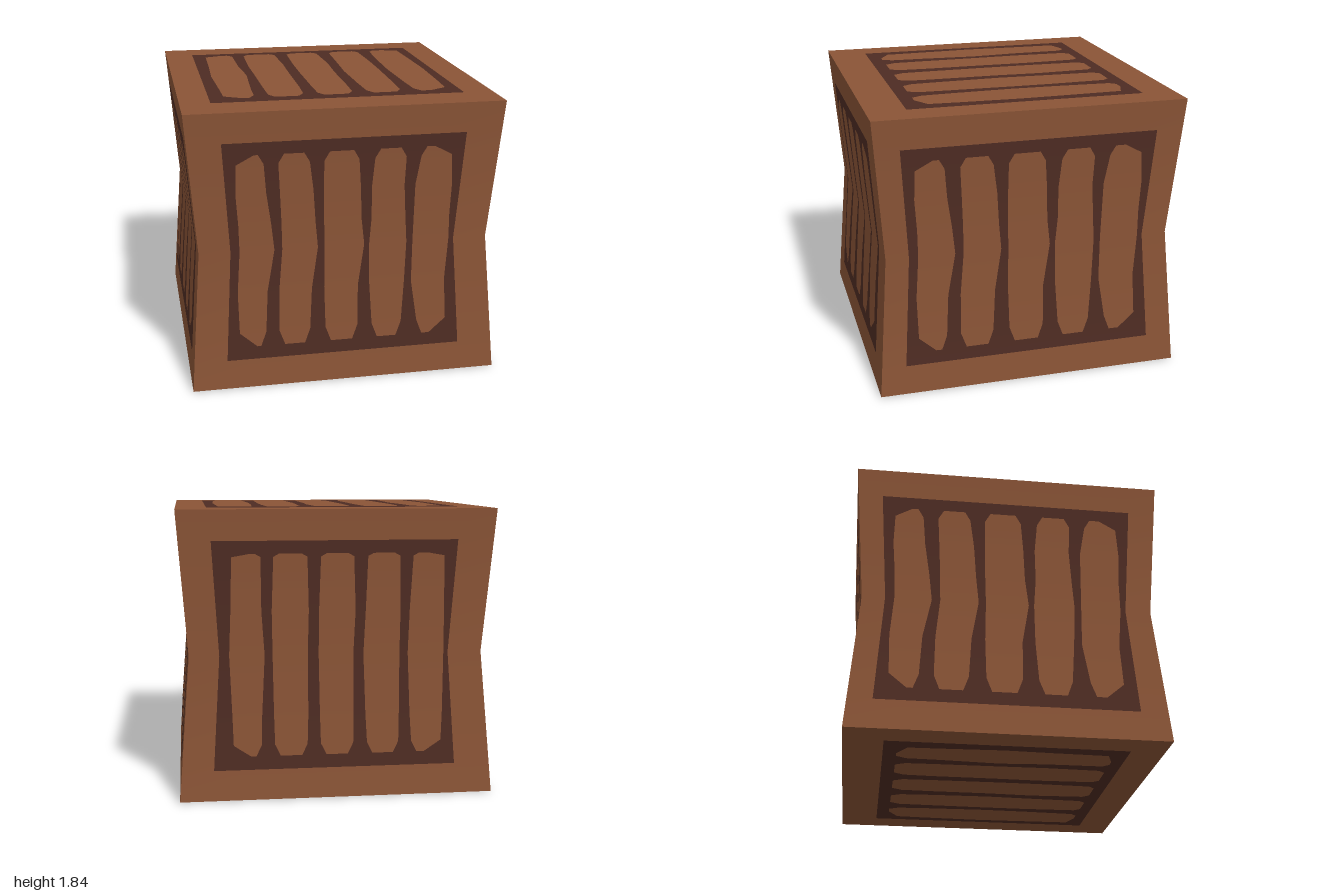
import * as THREE from 'three';

const H = 1.825, MID = H / 2, WAIST = 0.93;
const wood = new THREE.MeshStandardMaterial({ color: 0x8a5436 });
wood.name = 'wood brown';
const dark = new THREE.MeshStandardMaterial({ color: 0x4e2c23 });
dark.name = 'dark brown';

// Each row: height from the middle, then left and right edge of the five slats
const SIDE_ROWS = [
  [0.58, -0.69, -0.52, -0.43, -0.235, -0.145, 0.075, 0.175, 0.375, 0.47, 0.665],
  [0.39, -0.695, -0.505, -0.42, -0.21, -0.145, 0.09, 0.16, 0.37, 0.44, 0.68],
  [0.18, -0.68, -0.475, -0.41, -0.195, -0.14, 0.10, 0.165, 0.385, 0.44, 0.675],
  [0, -0.675, -0.455, -0.405, -0.177, -0.134, 0.123, 0.155, 0.40, 0.44, 0.68],
  [-0.27, -0.695, -0.505, -0.43, -0.22, -0.14, 0.08, 0.155, 0.385, 0.432, 0.655],
  [-0.54, -0.69, -0.52, -0.435, -0.235, -0.135, 0.075, 0.17, 0.365, 0.47, 0.665],
];
const LID_ROWS = [
  [0.66, -0.72, -0.525, -0.44, -0.21, -0.118, 0.107, 0.203, 0.423, 0.514, 0.728],
  [0.30, -0.728, -0.52, -0.45, -0.198, -0.128, 0.123, 0.193, 0.434, 0.498, 0.738],
  [0, -0.739, -0.498, -0.444, -0.203, -0.128, 0.112, 0.182, 0.434, 0.492, 0.744],
  [-0.40, -0.723, -0.52, -0.439, -0.203, -0.123, 0.112, 0.193, 0.428, 0.503, 0.733],
  [-0.60, -0.717, -0.525, -0.434, -0.21, -0.118, 0.107, 0.203, 0.423, 0.514, 0.723],
];

const sideDepth = v => WAIST + (1 - WAIST) * Math.abs(v) / MID;
const lidDepth = () => MID;

// A strip facing +z from rows of [v, left, right], listed top to bottom
function strip(rows, depth, lift, bent) {
  const pos = [], nor = [], idx = [];
  rows.forEach(([v, a, b], i) => {
    const z = depth(v) + lift;
    pos.push(a, v, z, b, v, z);
    const n = new THREE.Vector3(0, bent ? -(1 - WAIST) / MID * v / MID : 0, 1).normalize();
    nor.push(n.x, n.y, n.z, n.x, n.y, n.z);
    if (i) {
      const k = 2 * i;
      idx.push(k - 2, k, k - 1, k - 1, k, k + 1);
    }
  });
  const g = new THREE.BufferGeometry();
  g.setAttribute('position', new THREE.Float32BufferAttribute(pos, 3));
  g.setAttribute('normal', new THREE.Float32BufferAttribute(nor, 3));
  g.setIndex(idx);
  return g;
}

// Dark recess with five worn slats on one face
function face(name, { rows, left, right, top, bottom, su = 1, sv = 1, bent = true }) {
  const group = new THREE.Group();
  group.name = name;
  const depth = bent ? sideDepth : lidDepth;
  const add = (part, geo, mat) => {
    const m = new THREE.Mesh(geo, mat);
    m.name = part;
    group.add(m);
  };
  const frame = [top, 0, bottom].map(v => {
    const s = bent ? sideDepth(v) / sideDepth(top) : 1;
    return [v, left * s, right * s];
  });
  add('darkRecess', strip(frame, depth, 0.003, bent), dark);
  for (let i = 0; i < 5; i++) {
    const r = rows.map(q => [q[0] * sv, q[1 + 2 * i] * su, q[2 + 2 * i] * su]);
    // Rounded ends, cut deeper at the outer corners of the outer slats
    const inA = i === 0 ? 0.11 : 0.035, inB = i === 4 ? 0.11 : 0.035;
    const f = r[0], l = r[r.length - 1];
    r.unshift([top - 0.08, f[1] + inA, f[2] - inB]);
    r.push([bottom + 0.085, l[1] + inA, l[2] - inB]);
    add('slat' + (i + 1), strip(r, depth, 0.006, bent), wood);
  }
  return group;
}

export function createModel() {
  const model = new THREE.Group();
  model.name = 'crate';
  const body = new THREE.Group();
  body.name = 'waistedCrate';
  body.position.y = MID;
  model.add(body);

  // Box pinched at half height
  const geo = new THREE.BoxGeometry(2, H, 2, 1, 2, 1);
  const p = geo.attributes.position;
  for (let i = 0; i < p.count; i++) {
    const s = sideDepth(p.getY(i));
    p.setX(i, p.getX(i) * s);
    p.setZ(i, p.getZ(i) * s);
  }
  geo.computeVertexNormals();
  const box = new THREE.Mesh(geo, wood);
  box.name = 'body';
  body.add(box);

  // Side faces
  const front = { rows: SIDE_ROWS, left: -0.775, right: 0.755, top: 0.72, bottom: -0.72 };
  const side = { ...front, left: -0.83, right: 0.81, su: 1.075 };
  const back = { ...front, rows: LID_ROWS, left: -0.785, su: 0.92, sv: 0.94 };
  [['frontFace', front], ['rightHandFace', side], ['backFace', back], ['leftHandFace', side]]
    .forEach(([name, opts], i) => {
      const f = face(name, opts);
      f.rotation.y = i * Math.PI / 2;
      body.add(f);
    });

  // Lid and underside
  const lid = { rows: LID_ROWS, left: -0.81, right: 0.805, top: 0.78, bottom: -0.75, bent: false };
  const topFace = face('topFace', lid);
  topFace.rotation.x = -Math.PI / 2;
  const underside = face('underside', lid);
  underside.rotation.x = Math.PI / 2;
  body.add(topFace, underside);
  return model;
}
